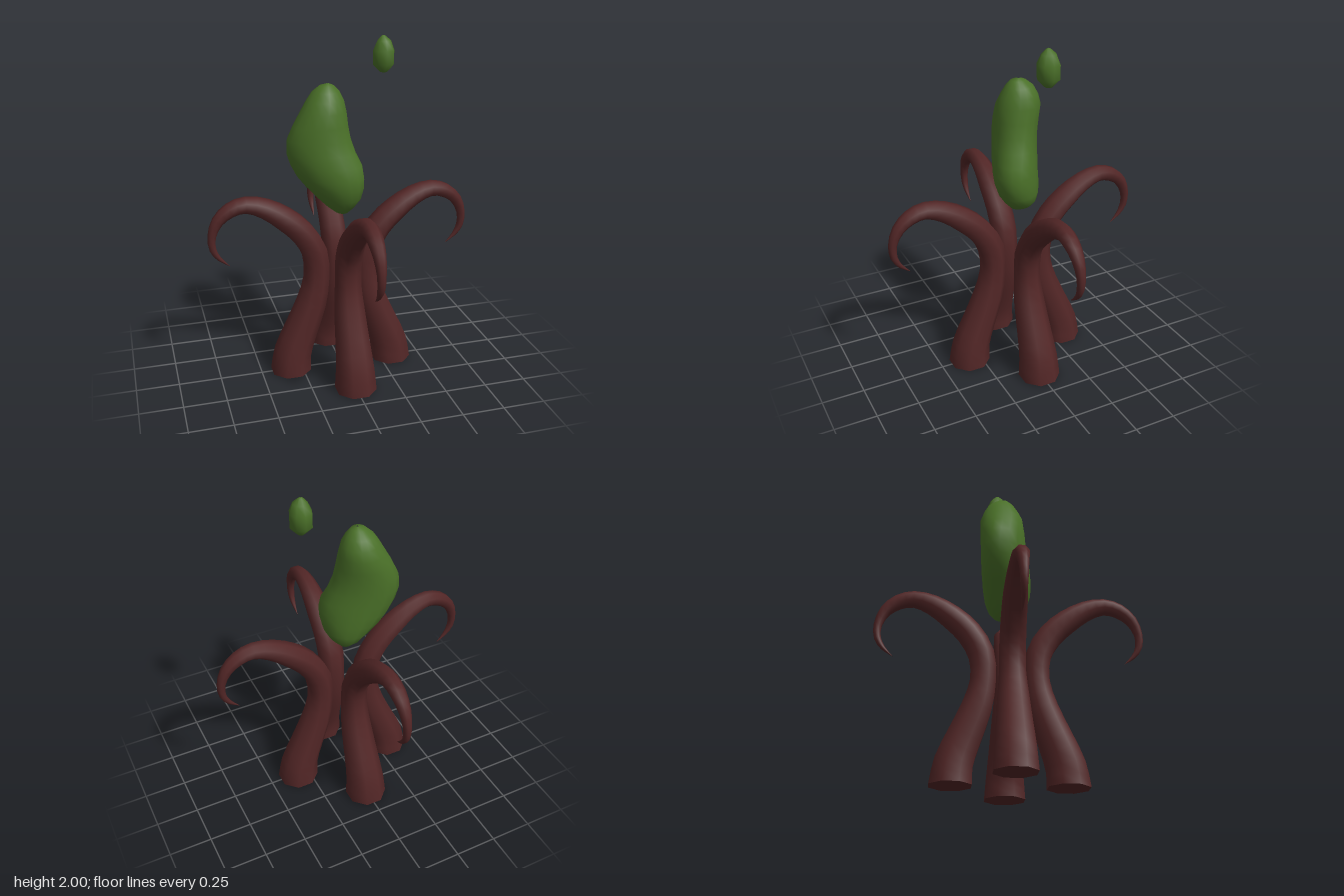
import * as THREE from 'three';

// Skin a list of equal-length rings; the ring runs counter-clockwise about the path.
function loft(rings) {
  const n = rings[0].length, index = [];
  for (let i = 0; i < rings.length - 1; i++) {
    for (let j = 0; j < n; j++) {
      const k = (j + 1) % n;
      const a = i * n + j, b = i * n + k, c = a + n, d = b + n;
      index.push(a, b, c, b, d, c);
    }
  }
  const geo = new THREE.BufferGeometry().setFromPoints(rings.flat());
  geo.setIndex(index);
  geo.computeVertexNormals();
  return geo;
}

// Blob from horizontal slices: [y, xMin, xMax, zMin, zMax, skew]
function blob(slices, sides) {
  return loft(slices.map(([y, x0, x1, z0, z1, skew = 0]) =>
    Array.from({ length: sides }, (_, j) => {
      const t = (j / sides) * Math.PI * 2;
      return new THREE.Vector3(
        (x0 + x1) / 2 + ((x1 - x0) / 2) * Math.cos(t),
        y,
        (z0 + z1) / 2 + ((z1 - z0) / 2) * Math.sin(skew - t)
      );
    })));
}

// Tapered tentacle in the xy plane; path points are (x, y, radius)
function tentacle(path, sides, steps) {
  const curve = new THREE.CatmullRomCurve3(path.map((p) => new THREE.Vector3(...p)));
  const rings = [];
  for (let i = 0; i <= steps; i++) {
    const p = curve.getPoint(i / steps);
    const a = curve.getPoint(Math.max(0, i / steps - 0.01));
    const b = curve.getPoint(Math.min(1, i / steps + 0.01));
    const dir = i === 0 ? new THREE.Vector2(0, 1) : new THREE.Vector2(b.x - a.x, b.y - a.y).normalize();
    const r = Math.max(p.z, 0.001);
    rings.push(Array.from({ length: sides }, (_, j) => {
      const t = ((j + 0.5) / sides) * Math.PI * 2;
      const c = r * Math.cos(t), s = r * Math.sin(t);
      return new THREE.Vector3(p.x + dir.y * c, p.y - dir.x * c, -s);
    }));
  }
  return loft(rings);
}

export function createModel() {
  const model = new THREE.Group();
  const brown = new THREE.MeshStandardMaterial({ color: 0x522626 });
  brown.name = 'dark red brown';
  const green = new THREE.MeshStandardMaterial({ color: 0x4a7028 });
  green.name = 'slime green';
  const add = (parent, name, geo, mat) => {
    const mesh = new THREE.Mesh(geo, mat);
    mesh.name = name;
    parent.add(mesh);
    return mesh;
  };

  // Four tentacles curling outward
  const SIDES = 8;
  const armGeo = tentacle([
    [0.32, 0, 0.124], [0.305, 0.12, 0.114], [0.25, 0.27, 0.102], [0.185, 0.44, 0.091],
    [0.152, 0.6, 0.078], [0.163, 0.76, 0.078], [0.235, 0.89, 0.076], [0.335, 0.985, 0.072],
    [0.45, 1.06, 0.06], [0.56, 1.092, 0.049], [0.65, 1.069, 0.044], [0.722, 1.008, 0.035],
    [0.759, 0.92, 0.025], [0.756, 0.84, 0.021], [0.722, 0.78, 0.013], [0.665, 0.73, 0.001],
  ], SIDES, 30);
  const footGeo = new THREE.CircleGeometry(0.124, SIDES, Math.PI / SIDES);
  footGeo.rotateX(Math.PI / 2).translate(0.32, 0, 0);
  ['left', 'back', 'right', 'front'].forEach((side, i) => {
    const arm = new THREE.Group();
    arm.name = side + 'Tentacle';
    add(arm, 'tentacleSkin', armGeo, brown);
    add(arm, 'tentacleFoot', footGeo, brown);
    arm.rotation.y = (i * Math.PI) / 2;
    model.add(arm);
  });

  // Lumpy slime body
  add(model, 'slimeBlob', blob([
    [0.98, 0.005, 0.015, -0.045, -0.035],
    [0.992, -0.03, 0.05, -0.09, 0.03],
    [1.03, -0.08, 0.088, -0.128, 0.068, 0.1],
    [1.08, -0.13, 0.115, -0.15, 0.103, 0.2],
    [1.15, -0.195, 0.128, -0.168, 0.124, 0.3],
    [1.21, -0.242, 0.13, -0.176, 0.127, 0.35],
    [1.28, -0.278, 0.12, -0.182, 0.118, 0.35],
    [1.35, -0.3, 0.088, -0.186, 0.097, 0.3],
    [1.43, -0.298, 0.064, -0.187, 0.085, 0.2],
    [1.51, -0.262, 0.052, -0.187, 0.079, 0.1],
    [1.59, -0.218, 0.045, -0.187, 0.07],
    [1.65, -0.184, 0.032, -0.168, 0.047],
    [1.7, -0.15, 0.006, -0.14, 0.02],
    [1.735, -0.11, -0.028, -0.095, -0.008],
    [1.748, -0.068, -0.058, -0.055, -0.045],
  ], 16), green);

  // Droplet floating above
  add(model, 'slimeDroplet', blob([
    [1.79, 0.263, 0.267, -0.06, -0.056],
    [1.793, 0.247, 0.287, -0.078, -0.038],
    [1.838, 0.202, 0.328, -0.122, 0.006],
    [1.915, 0.202, 0.328, -0.123, 0.008],
    [1.968, 0.226, 0.308, -0.1, -0.015],
    [1.995, 0.25, 0.275, -0.07, -0.045],
    [2.0, 0.26, 0.264, -0.06, -0.056],
  ], 8), green);

  return model;
}
